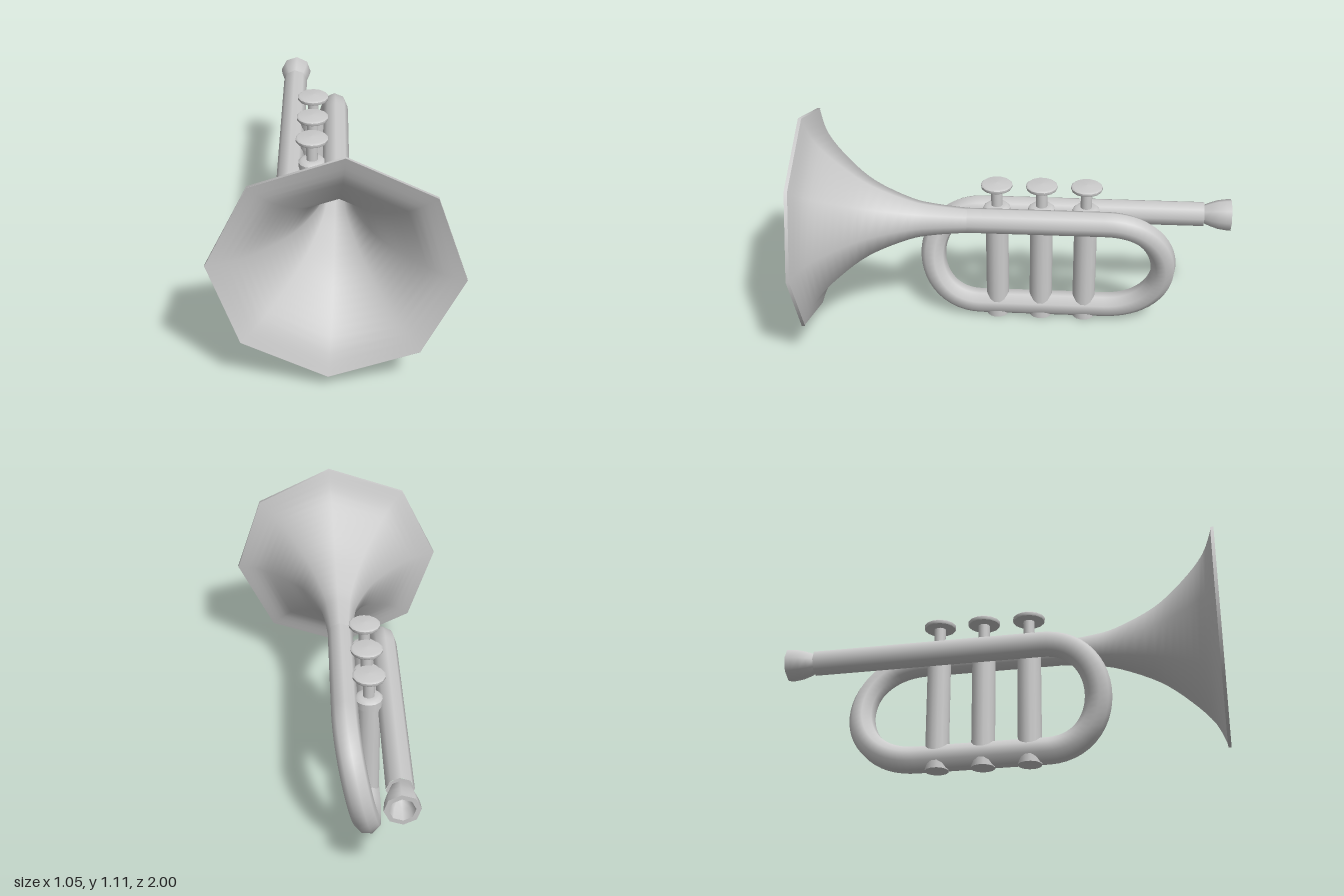
import * as THREE from 'three';

const material = new THREE.MeshStandardMaterial({ color: 0xcccccc });
const SIDES = 8, TWIST = -0.067;

function add(parent, geometry, name) {
  const mesh = new THREE.Mesh(geometry, material);
  mesh.name = name;
  parent.add(mesh);
  return mesh;
}

// Turns several [radius, height] profiles, each with its own smooth normals
function turned(name, profiles, sides) {
  const group = new THREE.Group();
  group.name = name;
  for (const p of profiles) {
    add(group, new THREE.LatheGeometry(p.map(([r, h]) => new THREE.Vector2(r, h)), sides), name + 'Surface');
  }
  return group;
}

// Lays a turned part along z
function alongZ(part, x, y) {
  part.rotation.set(Math.PI / 2, TWIST, 0);
  part.position.set(x, y, 0);
  return part;
}

export function createModel() {
  const model = new THREE.Group();
  model.name = 'trumpet';
  const v = (x, y, z) => new THREE.Vector3(x, y, z);

  // Flared bell: outside, rim and hollow inside
  const flare = new THREE.SplineCurve([
    [0.06, 0.25], [0.075, 0.4], [0.1, 0.52], [0.18, 0.7], [0.287, 0.835], [0.405, 0.94], [0.525, 0.99],
  ].map(([r, z]) => new THREE.Vector2(r, z))).getPoints(24).map((p) => [p.x, p.y]);
  const inside = flare.map(([r, z]) => [r - 0.022 * (1 - (z - 0.25) / 0.75), z + 0.01]).reverse();
  model.add(alongZ(turned('bell', [
    flare,
    [[0.525, 0.985], [0.526, 1]],
    [[0.526, 1], inside[0]],
    [...inside, [0.036, 0.1]],
    [[0.036, 0.1], [0, 0.1]],
  ], SIDES), 0, 0.59));

  // One pipe: from the bell, round the rear bend, under the valves, round the front bend
  const path = new THREE.CurvePath();
  path.add(new THREE.LineCurve3(v(0, 0.59, 0.25), v(0, 0.59, -0.4)));
  path.add(new THREE.CubicBezierCurve3(v(0, 0.59, -0.4), v(0, 0.59, -0.777), v(-0.11, 0.065, -0.777), v(-0.11, 0.065, -0.4)));
  path.add(new THREE.LineCurve3(v(-0.11, 0.065, -0.4), v(-0.11, 0.065, 0.2)));
  path.add(new THREE.CubicBezierCurve3(v(-0.11, 0.065, 0.2), v(-0.11, 0.065, 0.52), v(-0.213, 0.54, 0.52), v(-0.213, 0.54, 0.2)));
  path.add(new THREE.LineCurve3(v(-0.213, 0.54, 0.2), v(-0.213, 0.54, -0.87)));
  add(model, new THREE.TubeGeometry(path, 130, 0.061, SIDES, false), 'pipe');

  // Mouthpiece with hollow cup, and the end face of the pipe
  model.add(alongZ(turned('mouthpiece', [
    [[0, -0.87], [0.061, -0.87]],
    [[0.078, -1], [0.076, -0.975], [0.071, -0.94], [0.06, -0.905], [0.045, -0.87]],
    [[0.056, -1], [0.078, -1]],
    [[0, -0.91], [0.025, -0.915], [0.045, -0.95], [0.056, -1]],
  ], SIDES), -0.213, 0.54));

  // Three valves: casing, top collar, stem and finger button
  for (const z of [0.12, -0.093, -0.305]) {
    const valve = turned('valve', [
      [[0, 0], [0.055, 0.004]],
      [[0.055, 0.004], [0.055, 0.57]],
      [[0.055, 0.57], [0.064, 0.57]],
      [[0.064, 0.57], [0.064, 0.605]],
      [[0.064, 0.605], [0.05, 0.618], [0.027, 0.618]],
      [[0.027, 0.618], [0.027, 0.71]],
      [[0.027, 0.71], [0.072, 0.712]],
      [[0.072, 0.712], [0.075, 0.718], [0.075, 0.727]],
      [[0.075, 0.727], [0.066, 0.734], [0, 0.738]],
    ], 14);
    valve.position.set(-0.11, 0, z);
    model.add(valve);
  }
  return model;
}
